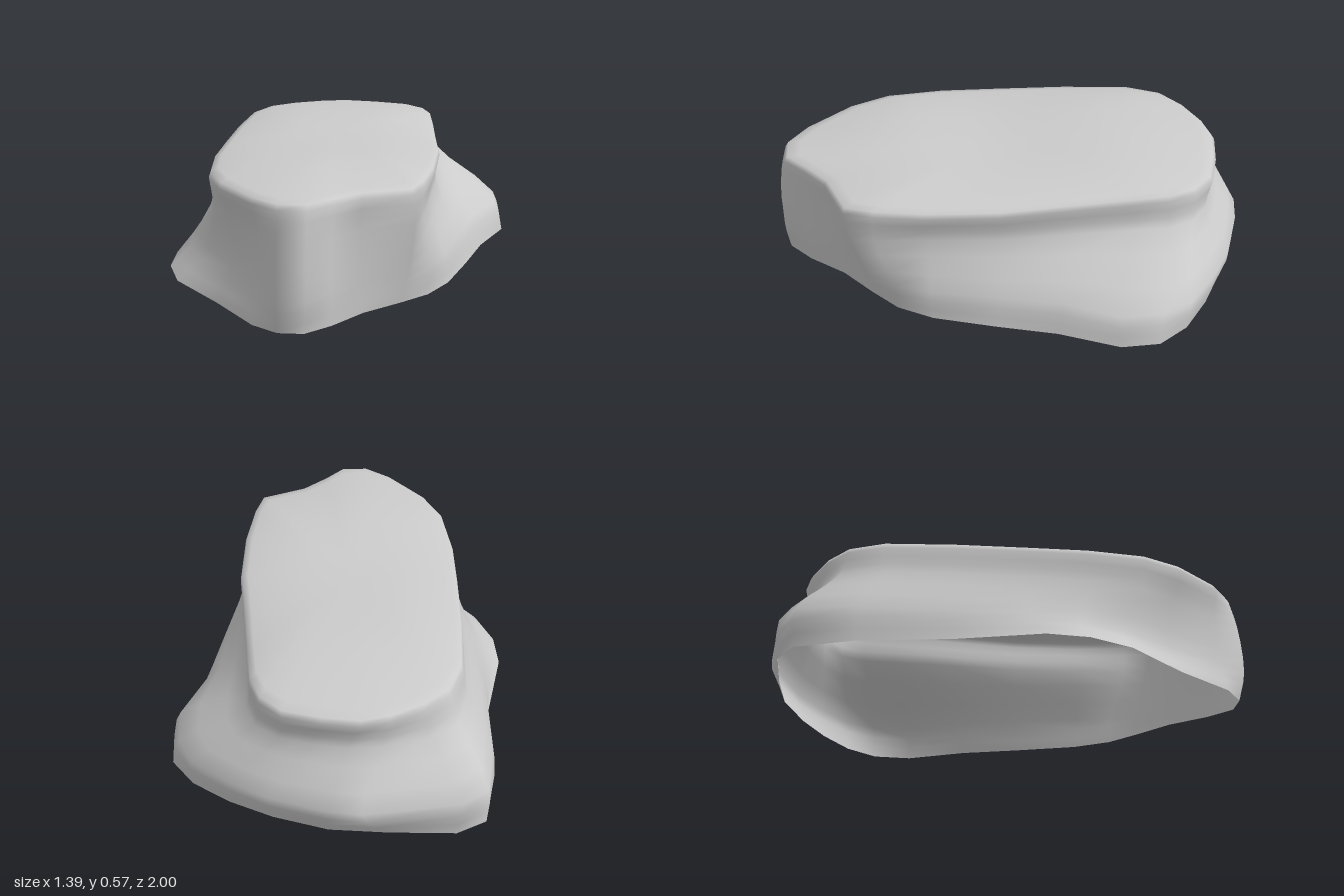
import * as THREE from 'three';
import { mergeVertices } from 'three/addons/utils/BufferGeometryUtils.js';

// Matching outlines [x, z], from the front tip round by +x, the back and -x
const foot = [
  [-0.09, 0.97], [0.01, 0.965], [0.1, 0.87], [0.2, 0.72], [0.33, 0.59], [0.43, 0.48], [0.5, 0.33], [0.56, 0.07],
  [0.61, -0.18], [0.695, -0.43], [0.68, -0.59], [0.585, -0.71], [0.43, -0.81], [0.25, -0.89], [0.03, -0.95], [-0.2, -0.95],
  [-0.47, -0.93], [-0.59, -0.86], [-0.635, -0.62], [-0.63, -0.25], [-0.7, 0.1], [-0.685, 0.27], [-0.61, 0.44], [-0.39, 0.67], [-0.2, 0.9]];
const belly = [
  [-0.09, 1.0], [0.02, 0.98], [0.1, 0.88], [0.2, 0.73], [0.36, 0.605], [0.445, 0.49], [0.485, 0.34], [0.53, 0.06],
  [0.57, -0.2], [0.66, -0.43], [0.645, -0.6], [0.58, -0.72], [0.43, -0.83], [0.26, -0.92], [0.03, -0.985], [-0.1, -1.0],
  [-0.48, -0.935], [-0.59, -0.86], [-0.62, -0.62], [-0.61, -0.25], [-0.6, 0.05], [-0.56, 0.25], [-0.48, 0.42], [-0.335, 0.63], [-0.185, 0.88]];
const neck = [
  [-0.09, 0.985], [0.02, 0.965], [0.1, 0.87], [0.19, 0.745], [0.39, 0.665], [0.41, 0.56], [0.415, 0.34], [0.42, 0.05],
  [0.39, -0.25], [0.37, -0.5], [0.36, -0.64], [0.32, -0.74], [0.22, -0.81], [0.1, -0.84], [-0.04, -0.86], [-0.17, -0.85],
  [-0.36, -0.79], [-0.47, -0.71], [-0.51, -0.53], [-0.51, -0.25], [-0.5, 0.05], [-0.48, 0.3], [-0.43, 0.52], [-0.33, 0.66], [-0.18, 0.865]];
const rim = [
  [-0.09, 0.955], [0.02, 0.95], [0.1, 0.86], [0.2, 0.765], [0.385, 0.68], [0.415, 0.56], [0.437, 0.35], [0.435, 0.05],
  [0.395, -0.25], [0.365, -0.5], [0.345, -0.64], [0.3, -0.75], [0.21, -0.83], [0.06, -0.865], [-0.09, -0.88], [-0.2, -0.85],
  [-0.33, -0.78], [-0.43, -0.69], [-0.485, -0.54], [-0.495, -0.25], [-0.488, 0.05], [-0.478, 0.3], [-0.44, 0.54], [-0.36, 0.7], [-0.2, 0.88]];

const N = foot.length;
const bump = (d, w) => Math.exp(-d * d / (w * w));

// Lower edge dips at the back -x corner and slightly towards the front
const footY = (x, z) => 0.035 - 0.035 * bump(Math.hypot(x + 0.58, z + 0.88), 0.4)
  - 0.012 * bump(Math.hypot(x + 0.5, z - 0.5), 0.4);

// Crest of the top, with a mound at each end
const crestY = z => 0.55 + 0.03 * bump(z - 0.55, 0.28) + 0.034 * bump(z + 0.58, 0.42);

// Top height: s is 1 at the rim and 0 in the middle
const topY = (s, z) => THREE.MathUtils.lerp(crestY(z), 0.522, s ** 3);

function buildRock() {
  const rings = [];

  // Flank: a vertical spline through the four outlines
  const flank = rim.map(([x, z], i) => new THREE.CatmullRomCurve3([
    new THREE.Vector3(foot[i][0], footY(...foot[i]), foot[i][1]),
    new THREE.Vector3(belly[i][0], 0.165, belly[i][1]),
    new THREE.Vector3(neck[i][0], 0.38, neck[i][1]),
    new THREE.Vector3(x, 0.502, z)]));
  for (let k = 0; k <= 9; k++) rings.push(flank.map(c => c.getPoint(k / 9)));

  // Top: rings drawn in from the rim to the middle
  for (const s of [0.985, 0.93, 0.8, 0.6, 0.4, 0.2, 0]) {
    rings.push(rim.map(([x, z]) => new THREE.Vector3(
      THREE.MathUtils.lerp(-0.03, x, s), topY(s, z * s), z * s)));
  }

  const index = [];
  for (let k = 0; k < rings.length - 1; k++) {
    for (let i = 0; i < N; i++) {
      const a = k * N + i, b = k * N + (i + 1) % N;
      index.push(a, b, b + N, a, b + N, a + N);
    }
  }
  const geometry = new THREE.BufferGeometry().setFromPoints(rings.flat());
  geometry.setIndex(index);

  // Join the last ring into one middle point before smoothing
  const joined = mergeVertices(geometry);
  joined.computeVertexNormals();
  return joined;
}

export function createModel() {
  const group = new THREE.Group();
  group.name = 'flatToppedRock';
  // Hollow shell, open underneath
  const material = new THREE.MeshStandardMaterial({ color: 0xcccccc, side: THREE.DoubleSide });
  const rock = new THREE.Mesh(buildRock(), material);
  rock.name = 'rockShell';
  group.add(rock);
  return group;
}
